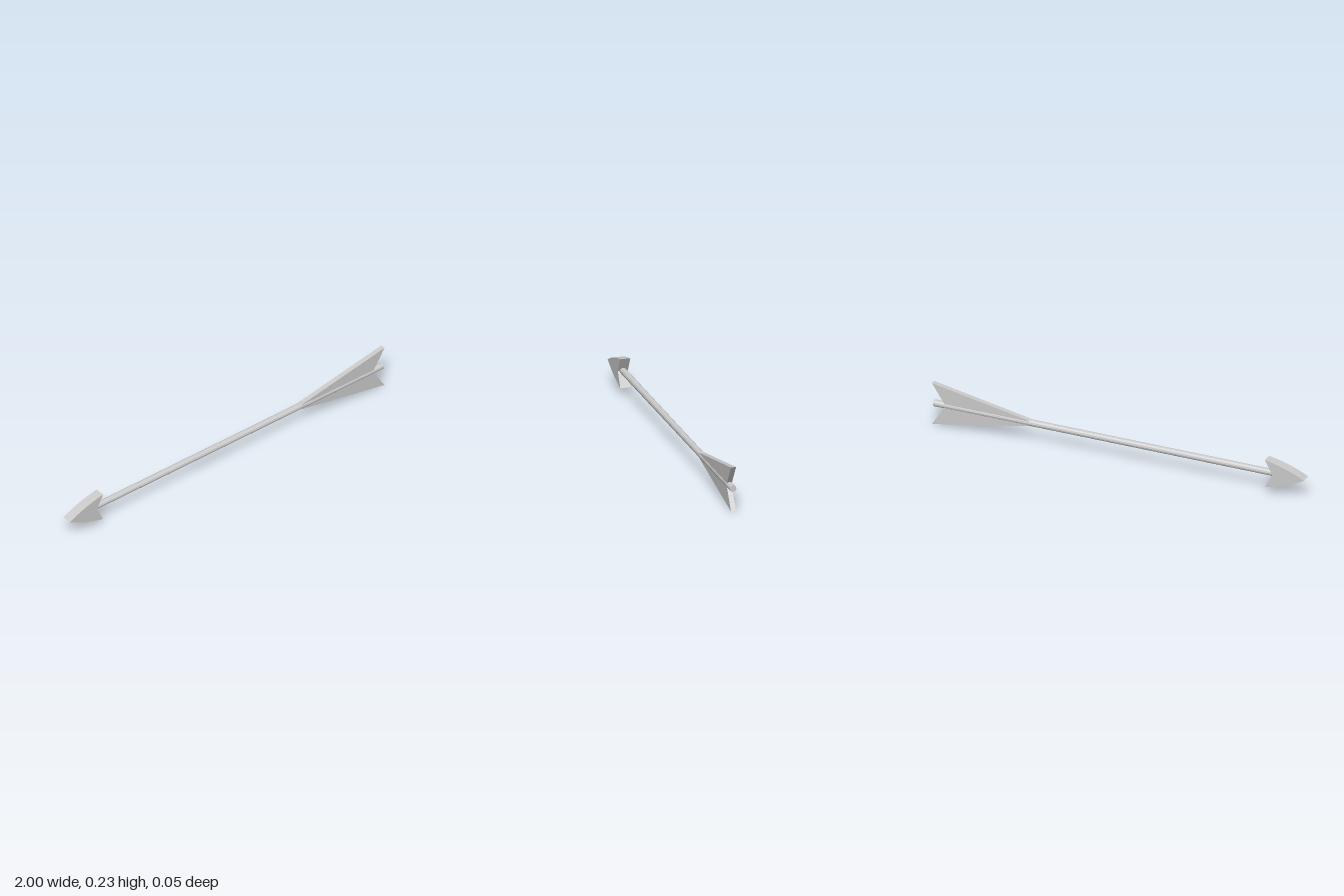
import * as THREE from 'three';

const CENTER_Y = 0.115;

export function createModel() {
  const group = new THREE.Group();
  const material = new THREE.MeshStandardMaterial({ color: 0xcccccc, flatShading: true });

  const add = (name, geometry) => {
    const mesh = new THREE.Mesh(geometry, material);
    mesh.name = name;
    mesh.position.y = CENTER_Y;
    group.add(mesh);
  };

  // Flat plate of the given thickness, centred on z = 0
  const plate = (shape, depth) =>
    new THREE.ExtrudeGeometry(shape, { depth, bevelEnabled: false, curveSegments: 6 })
      .translate(0, 0, -depth / 2);

  // Shaft along x
  const shaftStart = -0.84, shaftEnd = 0.993;
  add('shaft', new THREE.CylinderGeometry(0.017, 0.017, shaftEnd - shaftStart, 12)
    .rotateZ(Math.PI / 2)
    .translate((shaftStart + shaftEnd) / 2, 0, 0));

  // Barbed head with gently bowed cutting edges
  const head = new THREE.Shape();
  head.moveTo(-1, 0.004);
  head.quadraticCurveTo(-0.91, -0.05, -0.79, -0.077);
  head.lineTo(-0.83, 0);
  head.lineTo(-0.79, 0.075);
  head.quadraticCurveTo(-0.91, 0.053, -1, 0.004);
  add('arrowhead', plate(head, 0.052));

  // Swallow-tailed fletching, widening toward the tail
  const fletching = new THREE.Shape();
  fletching.moveTo(0.48, -0.015);
  fletching.lineTo(1, -0.115);
  fletching.lineTo(0.925, 0);
  fletching.lineTo(1, 0.115);
  fletching.lineTo(0.48, 0.015);
  fletching.closePath();
  add('fletching', plate(fletching, 0.026));

  return group;
}
